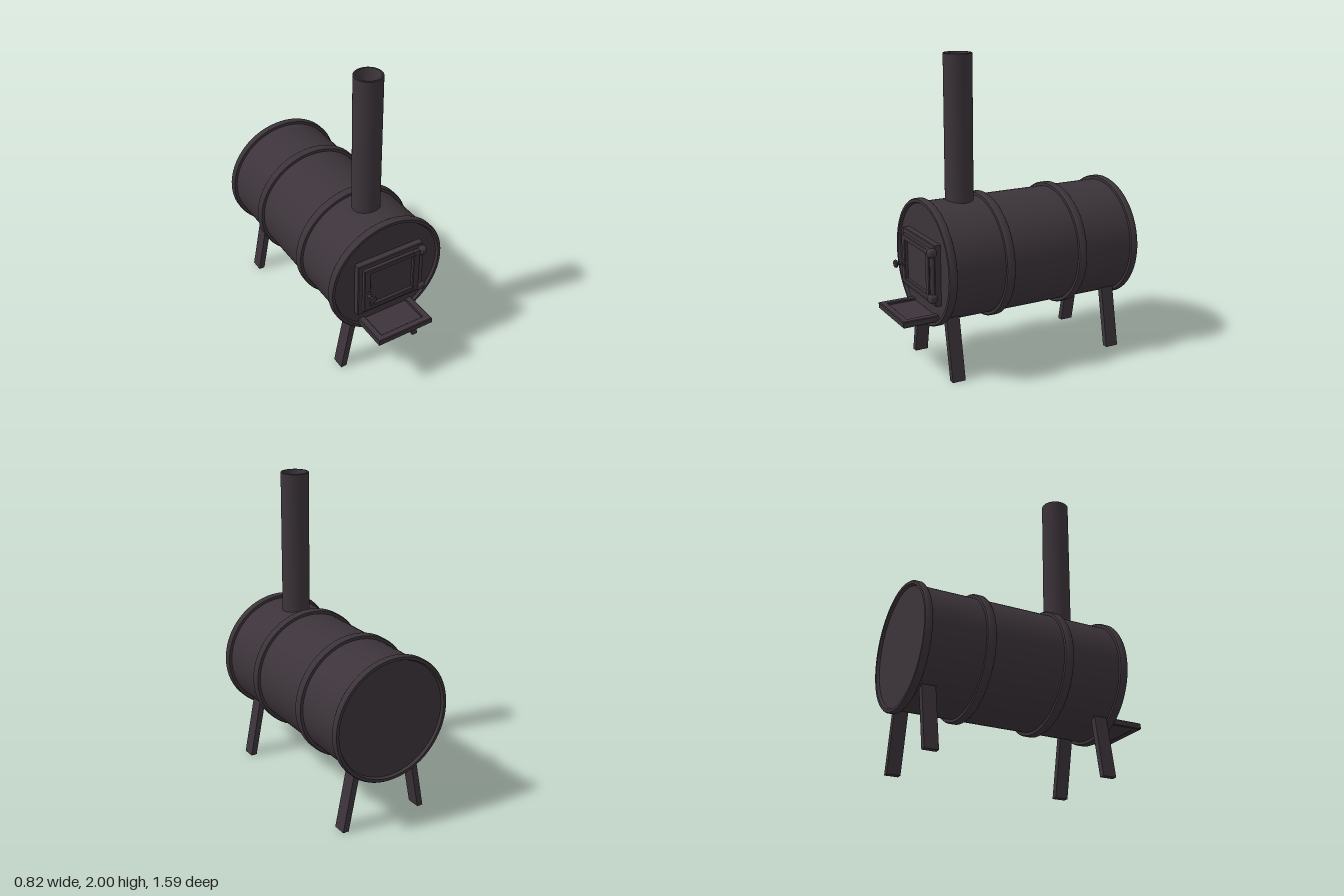
import * as THREE from 'three';
import { toCreasedNormals } from 'three/addons/utils/BufferGeometryUtils.js';
import { RoundedBoxGeometry } from 'three/addons/geometries/RoundedBoxGeometry.js';

const iron = new THREE.MeshStandardMaterial({ color: 0x3c343a });
iron.name = 'darkIron';

const AXIS_Y = 0.708; // height of the barrel's axis

export function createModel() {
  const model = new THREE.Group();
  model.name = 'barrelStove';

  const add = (name, geometry, x = 0, y = 0, z = 0, parent = model) => {
    const mesh = new THREE.Mesh(geometry, iron);
    mesh.name = name;
    mesh.position.set(x, y, z);
    parent.add(mesh);
    return mesh;
  };
  const lathe = (points, segments) =>
    toCreasedNormals(new THREE.LatheGeometry(points.map(([r, y]) => new THREE.Vector2(r, y)), segments), 0.7);

  // Rectangular frame in the xy plane, with a small bevel
  const frame = (w, h, innerW, innerH, depth) => {
    const rect = (path, a, b) =>
      path.moveTo(-a / 2, -b / 2).lineTo(a / 2, -b / 2).lineTo(a / 2, b / 2).lineTo(-a / 2, b / 2).closePath();
    const bevel = 0.005;
    const shape = rect(new THREE.Shape(), w - 2 * bevel, h - 2 * bevel);
    shape.holes.push(rect(new THREE.Path(), innerW + 2 * bevel, innerH + 2 * bevel));
    return new THREE.ExtrudeGeometry(shape, {
      depth: depth - 2 * bevel, bevelSize: bevel, bevelThickness: bevel, bevelSegments: 1,
    }).translate(0, 0, bevel);
  };

  // Barrel: one turned profile with recessed ends, end rims and two hoops
  const R = 0.381, RIM = 0.405;
  const hoop = (z0, z1) => [[R, z0], [RIM - 0.006, z0], [RIM, z0 + 0.008], [RIM, z1 - 0.008], [RIM - 0.006, z1], [R, z1]];
  const rimBack = hoop(-0.79, -0.745), rimFront = hoop(0.525, 0.575);
  const barrel = add('barrel', lathe([
    [0, -0.772], [0.373, -0.772],
    ...rimBack, ...hoop(-0.395, -0.34), ...hoop(0.13, 0.185), ...rimFront,
    [0.373, 0.558], [0, 0.558],
  ], 64).rotateX(Math.PI / 2), 0, AXIS_Y, 0);
  barrel.scale.x = 1.01;

  // Hollow chimney pipe
  add('chimney', lathe([[0.09, 1.0], [0.09, 1.997], [0.087, 2], [0.077, 2], [0.075, 1.996], [0.075, 1.0]], 40), 0, 0, 0.31);

  // Splayed flat legs
  for (const side of [-1, 1]) {
    for (const [end, z] of [['front', 0.43], ['back', -0.725]]) {
      const corners = [[0.265, 0], [0.305, 0], [0.227, 0.4], [0.185, 0.4]];
      const shape = new THREE.Shape(corners.map(([x, y]) => new THREE.Vector2(side * x, y)));
      add(`${end}${side > 0 ? 'Left' : 'Right'}Leg`,
        new THREE.ExtrudeGeometry(shape, { depth: 0.088, bevelEnabled: false }), 0, 0, z);
    }
  }

  // Door with surround and recessed panel
  const door = new THREE.Group();
  door.name = 'door';
  door.position.set(0, 0.69, 0);
  model.add(door);
  add('doorSurround', frame(0.475, 0.39, 0.38, 0.3, 0.05), 0.003, 0, 0.55, door);
  add('doorFrame', frame(0.41, 0.325, 0.315, 0.255, 0.06), 0.001, 0.001, 0.565, door);
  add('doorPanel', new THREE.BoxGeometry(0.34, 0.28, 0.045), 0, 0, 0.58, door);

  // Hinge rod and knuckles on the model's left
  add('hingeRod', new THREE.CylinderGeometry(0.016, 0.016, 0.3, 16), 0.222, 0.004, 0.605, door);
  for (const y of [-0.143, 0.148]) {
    add('hingeKnuckle', new RoundedBoxGeometry(0.054, 0.055, 0.055, 3, 0.02), 0.227, y, 0.611, door);
    add('hingeStrap', new RoundedBoxGeometry(0.06, 0.035, 0.02, 1, 0.005), 0.19, y, 0.617, door);
  }

  // Turned door knob
  add('doorKnob', lathe([[0.022, 0.615], [0.022, 0.63], [0.011, 0.636], [0.011, 0.664],
    [0.023, 0.67], [0.027, 0.678], [0.023, 0.687], [0, 0.69]], 20).rotateX(Math.PI / 2), -0.178, -0.025, 0, door);

  // Ash shelf: plate with a raised lip
  add('ashShelfPlate', new THREE.BoxGeometry(0.38, 0.025, 0.27), 0, 0.392, 0.655);
  add('ashShelfLip', frame(0.4, 0.295, 0.31, 0.205, 0.042).rotateX(-Math.PI / 2), 0, 0.377, 0.6475);

  return model;
}
